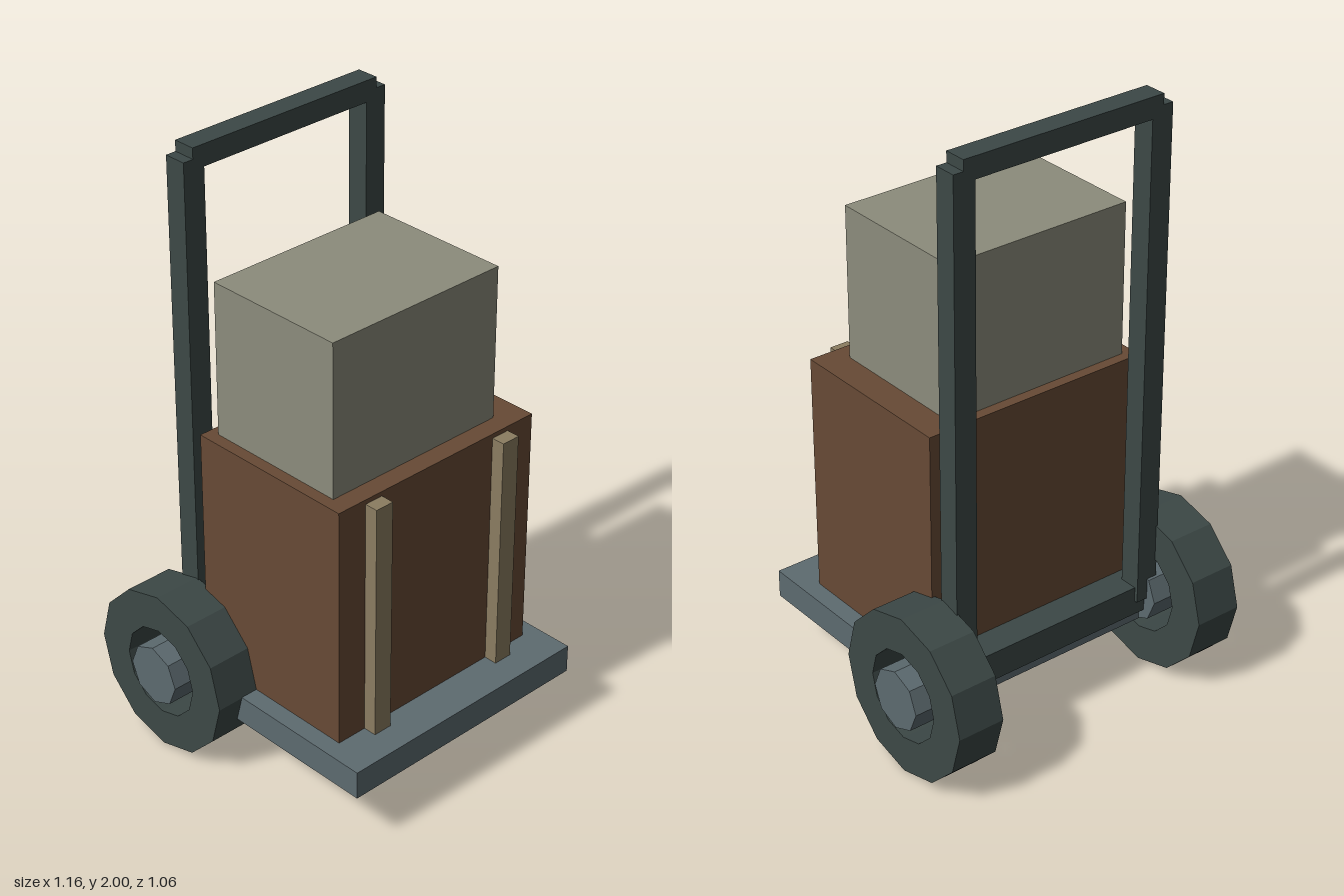
import * as THREE from 'three';

const mat = (name, color) => {
  const m = new THREE.MeshStandardMaterial({ color });
  m.name = name;
  return m;
};

// Closed regular polygon with corners on the axes
const ring = (radius, sides) => Array.from({ length: sides }, (_, i) => {
  const a = (i / sides) * Math.PI * 2;
  return new THREE.Vector2(Math.cos(a) * radius, Math.sin(a) * radius);
});

export function createModel() {
  const model = new THREE.Group();
  model.name = 'handTruck';
  const darkMetal = mat('dark metal', 0x3c4846);
  const greyMetal = mat('grey metal', 0x5d6b70);
  const wood = mat('brown wood', 0x674a35);
  const cardboard = mat('pale box', 0x8c8c7c);
  const slat = mat('tan slat', 0x8b7d61);

  const add = (name, geometry, material) => {
    const mesh = new THREE.Mesh(geometry, material);
    mesh.name = name;
    model.add(mesh);
    return mesh;
  };
  // Box given by its minimum and maximum corners
  const box = (name, material, [x0, y0, z0], [x1, y1, z1]) => {
    const g = new THREE.BoxGeometry(x1 - x0, y1 - y0, z1 - z0);
    g.translate((x0 + x1) / 2, (y0 + y1) / 2, (z0 + z1) / 2);
    return add(name, g, material);
  };

  // Load plate and cargo
  box('loadPlate', greyMetal, [-0.46, 0.185, -0.285], [0.46, 0.28, 0.53]);
  box('crate', wood, [-0.4, 0.28, -0.205], [0.4, 1.095, 0.39]);
  box('upperBox', cardboard, [-0.36, 1.095, -0.17], [0.3, 1.605, 0.325]);

  // Handle frame
  box('handleBar', darkMetal, [-0.36, 1.93, -0.32], [0.36, 2, -0.245]);
  box('lowerCrossbar', darkMetal, [-0.36, 0.23, -0.308], [0.36, 0.33, -0.203]);

  // Wheel tyre: thick twelve-sided ring with an open centre
  const axleY = 0.278, axleZ = -0.255;
  const tyreShape = new THREE.Shape(ring(0.277, 12));
  tyreShape.holes.push(new THREE.Path(ring(0.152, 12)));
  const tyre = new THREE.ExtrudeGeometry(tyreShape, { depth: 0.162, bevelEnabled: false });
  tyre.translate(0, 0, -0.081);
  tyre.rotateY(Math.PI / 2);

  // Eight-sided hub lying along x
  const hub = new THREE.CylinderGeometry(0.102, 0.102, 0.22, 8).toNonIndexed();
  hub.rotateZ(Math.PI / 2);
  hub.computeVertexNormals();

  for (const [side, s] of [['left', 1], ['right', -1]]) {
    const post = new THREE.BoxGeometry(0.076, 1.685, 0.075);
    add(side + 'Post', post, darkMetal).position.set(s * 0.357, 1.1225, -0.2825);
    const strip = new THREE.BoxGeometry(0.065, 0.8, 0.045);
    add(side + 'Slat', strip, slat).position.set(s * 0.262, 0.68, 0.4125);
    add(side + 'Tyre', tyre, darkMetal).position.set(s * 0.47, axleY, axleZ);
    add(side + 'Hub', hub, greyMetal).position.set(s * 0.469, axleY, axleZ);
  }
  return model;
}
